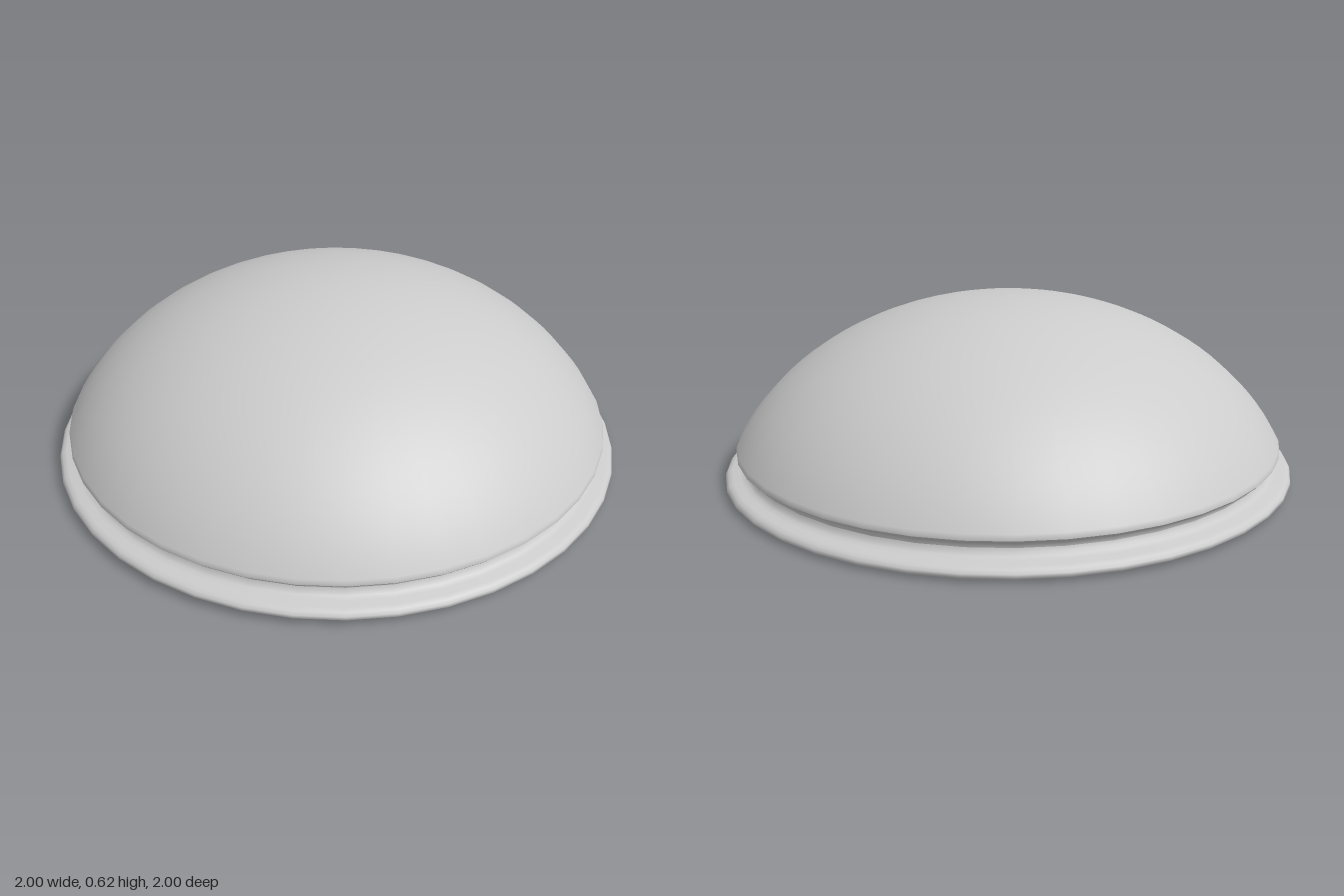
import * as THREE from 'three';

const SEGMENTS = 40;

// Surface of revolution through a list of [radius, height] points, bottom to top
function turned(name, points, material) {
  const profile = points.map(([r, y]) => new THREE.Vector2(r, y));
  const mesh = new THREE.Mesh(new THREE.LatheGeometry(profile, SEGMENTS), material);
  mesh.name = name;
  return mesh;
}

export function createModel() {
  const group = new THREE.Group();
  group.name = 'domedCap';
  const material = new THREE.MeshStandardMaterial({ color: 0xcccccc });
  const body = new THREE.Group();
  body.name = 'body';

  // Flat underside
  body.add(turned('base', [[0, 0], [0.965, 0]], material));

  // Rounded rim flange flowing into the groove under the dome
  body.add(turned('flange', [
    [0.965, 0], [0.988, 0.006], [1, 0.016], [0.998, 0.026], [0.99, 0.036], [0.975, 0.042],
    [0.95, 0.046], [0.935, 0.052], [0.926, 0.062], [0.923, 0.074],
  ], material));
  body.add(turned('groove', [
    [0.923, 0.074], [0.926, 0.086], [0.936, 0.095], [0.95, 0.101], [0.957, 0.109],
  ], material));

  // Dome: upper part of an ellipse whose centre lies below the base
  const centre = -0.2, a = 1.04, b = 0.818;
  const dome = [[0.957, 0.109], [0.957, 0.118]];
  const start = Math.asin((0.128 - centre) / b);
  for (let i = 0; i <= 20; i++) {
    const t = start + (Math.PI / 2 - start) * i / 20;
    dome.push([i === 20 ? 0 : a * Math.cos(t), centre + b * Math.sin(t)]);
  }
  body.add(turned('dome', dome, material));

  // The cap leans very slightly towards the back
  body.rotation.x = -0.007;
  body.position.y = 0.007;
  group.add(body);
  return group;
}
